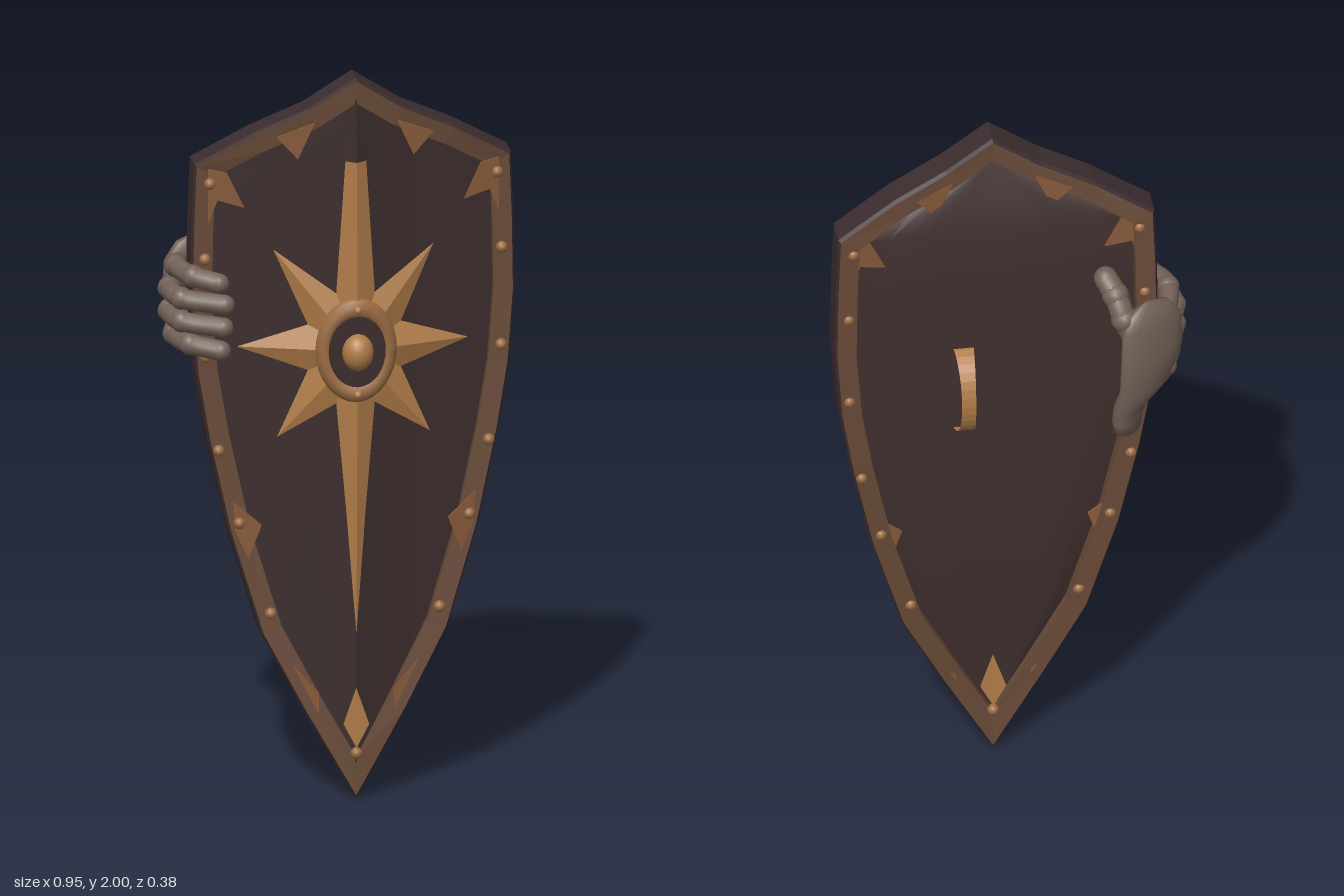
import * as THREE from 'three';
import { toCreasedNormals } from 'three/addons/utils/BufferGeometryUtils.js';

const mat = (name, color) => {
  const m = new THREE.MeshStandardMaterial({ color, side: THREE.DoubleSide });
  m.name = name;
  return m;
};

export function createModel() {
  const dark = mat('dark wood', 0x3a2b2c);
  const backing = mat('dark backing', 0x402f2e);
  const edge = mat('dark edge', 0x3c2d2f);
  const bronze = mat('worn bronze', 0x684a38);
  const bright = mat('polished bronze', 0x85593a);
  const dull = mat('dull gold', 0x9a6b42);
  const gold = mat('old gold', 0xb07c48);
  const skin = mat('grey skin', 0x726157);

  const model = new THREE.Group();
  const shield = new THREE.Group();
  shield.name = 'shield';
  shield.position.x = 0.04;
  const hand = new THREE.Group();
  hand.name = 'hand';
  model.add(shield, hand);

  const add = (parent, name, geo, m, pos = [0, 0, 0]) => {
    const mesh = new THREE.Mesh(geo, m);
    mesh.name = name;
    mesh.position.set(...pos);
    parent.add(mesh);
    return mesh;
  };
  const fromPoints = (pts) => {
    const g = new THREE.BufferGeometry();
    g.setAttribute('position', new THREE.Float32BufferAttribute(pts.flat(), 3));
    g.computeVertexNormals();
    return g;
  };

  // The shield bends backwards toward its sides
  const bend = (x) => 0.076 - 0.22 * Math.abs(x) ** 1.5;

  // Outline, clockwise from the top point
  const half = [[0, 2], [0.13, 1.915], [0.27, 1.85], [0.425, 1.76], [0.432, 1.58], [0.435, 1.38], [0.42, 1.18],
    [0.39, 1], [0.334, 0.74], [0.25, 0.46], [0.135, 0.24], [0, 0]];
  const outline = [...half, ...half.slice(1, -1).reverse().map(([x, y]) => [-x, y])];
  const N = outline.length;
  const inward = (i) => {
    const [p, q, r] = [outline[(i + N - 1) % N], outline[i], outline[(i + 1) % N]];
    const n = (a, b) => new THREE.Vector2(b[1] - a[1], a[0] - b[0]).normalize();
    const n1 = n(p, q), n2 = n(q, r), k = 1 + n1.dot(n2);
    return n1.add(n2).divideScalar(k);
  };
  const inset = (i, d) => {
    const n = inward(i);
    return [outline[i][0] + n.x * d, outline[i][1] + n.y * d];
  };

  // Rim: each band joins two [inset, depth] corners of the cross-section
  const band = (name, a, b, m) => {
    const pts = [];
    const at = (i, [d, z]) => [...inset(i % N, d), bend(outline[i % N][0]) + z];
    for (let i = 0; i < N; i++) {
      const [A, B, C, D] = [at(i, a), at(i + 1, a), at(i + 1, b), at(i, b)];
      pts.push(A, B, C, A, C, D);
    }
    add(shield, name, fromPoints(pts), m);
  };
  band('rimOuterWall', [0, -0.038], [0, 0.038], edge);
  band('rimInnerWall', [0.058, 0.046], [0.058, -0.046], bronze);
  for (const s of [1, -1]) {
    const c = (d, z) => [d, s * z];
    const ends = (p, q) => (s > 0 ? [p, q] : [q, p]);
    band('rimChamfer', ...ends(c(0, 0.038), c(0.006, 0.049)), edge);
    band('rimFace', ...ends(c(0.006, 0.049), c(0.058, 0.046)), bronze);
  }

  // Panels: rows follow the inset outline; the front is ridged, the back swells to a nearly flat face
  const rows = half.map((_, i) => inset(i, 0.05));
  const surface = (x) => bend(x) + 0.012 + 0.035 * Math.max(0, 1 - Math.abs(x) / 0.22) ** 2;
  const backSurface = (x, y, u) => {
    const swell = THREE.MathUtils.clamp(Math.min((1.94 - y) / 0.2, (y - 0.15) / 0.55), 0, 1);
    return THREE.MathUtils.lerp(bend(x) - 0.018, -0.008, swell * (1 - u ** 6));
  };
  for (const side of [1, -1]) {
    const cols = 16;
    const g = new THREE.PlaneGeometry(2, 1, cols, rows.length - 1);
    const p = g.attributes.position;
    for (let i = 0; i < p.count; i++) {
      const [w, y] = rows[Math.floor(i / (cols + 1))];
      const u = p.getX(i), x = u * w;
      p.setXYZ(i, x, y, side > 0 ? surface(x) : backSurface(x, y, u));
    }
    g.computeVertexNormals();
    add(shield, side > 0 ? 'frontPanel' : 'backPanel', toCreasedNormals(g, 0.4), side > 0 ? dark : backing);
  }

  // Star: eight ridged spikes around the hub, the upright ones with shoulders
  const cy = 1.25;
  const tips = [[0, 0.68], [0.215, 0.27], [0.31, 0], [0.205, -0.25], [0, -0.79], [-0.205, -0.25], [-0.31, 0], [-0.215, 0.27]];
  const shoulders = { 0: [0.028, 0.52], 4: [0.026, -0.45] };
  const star = [], spikeEnd = [];
  const top = [0, cy, 0.15];
  const valley = (j) => {
    const a = (j * Math.PI) / 4;
    const x = 0.135 * Math.sin(a);
    return [x, cy + 0.165 * Math.cos(a), surface(x) + 0.003];
  };
  tips.forEach(([tx, ty], k) => {
    const tip = [tx, cy + ty, surface(tx) + 0.004];
    for (const s of [-1, 1]) {
      const v = valley(k + s * 0.5);
      if (shoulders[k]) {
        const [w, h] = shoulders[k];
        const ridge = [0, cy + h, 0.136];
        const side = [Math.sign(v[0]) * w, cy + h, surface(w) + 0.002];
        star.push(top, ridge, v, ridge, side, v);
        (k === 0 ? spikeEnd : star).push(ridge, tip, side);
      } else {
        star.push(top, tip, v);
      }
    }
  });
  // Every face turned to the front
  const facing = (pts) => {
    for (let i = 0; i < pts.length; i += 3) {
      const [a, b, c] = pts.slice(i, i + 3);
      if ((b[0] - a[0]) * (c[1] - a[1]) < (b[1] - a[1]) * (c[0] - a[0])) [pts[i + 1], pts[i + 2]] = [c, b];
    }
    return fromPoints(pts);
  };
  add(shield, 'star', facing(star), gold);
  add(shield, 'spikeEnd', facing(spikeEnd), edge);

  // Hub: the ring slopes back to both sides
  const ring = new THREE.TorusGeometry(0.093, 0.022, 10, 32).scale(0.95, 1.25, 1);
  const rp = ring.attributes.position;
  for (let i = 0; i < rp.count; i++) rp.setZ(i, rp.getZ(i) - 0.15 * Math.abs(rp.getX(i)));
  ring.computeVertexNormals();
  add(shield, 'hubRing', ring, dull, [0, cy, 0.137]);
  const disc = add(shield, 'hubDisc', new THREE.CylinderGeometry(0.078, 0.085, 0.03, 32), dark, [0, cy, 0.137]);
  disc.rotation.x = Math.PI / 2;
  disc.scale.set(0.95, 1, 1.25);
  add(shield, 'hubBoss', new THREE.SphereGeometry(0.042, 20, 14), gold, [0, cy, 0.152]).scale.y = 1.2;
  for (const s of [1, -1]) {
    add(shield, 'hubRivet', new THREE.SphereGeometry(0.011, 10, 8), gold, [0, cy + s * 0.117, 0.157]);
  }

  // Rivets and pointed rim plates, on both faces
  const rivets = [[0.385, 1.71], [0.398, 1.5], [0.396, 1.23], [0.362, 0.97], [0.308, 0.77], [0.226, 0.52], [0, 0.13]];
  const plates = [
    [[0.39, 1.75], [0.34, 1.74], [0.295, 1.645], [0.365, 1.665], [0.39, 1.6]],
    [[0.325, 0.83], [0.25, 0.765], [0.285, 0.67], [0.32, 0.75]],
    [[0.21, 1.84], [0.155, 1.78], [0.11, 1.88]],
    [[0.17, 0.38], [0.1, 0.3], [0.1, 0.24]],
  ];
  const plate = (name, pts, side, m, base) => {
    const g = new THREE.ExtrudeGeometry(new THREE.Shape(pts.map((p) => new THREE.Vector2(...p))),
      { depth: 0.008, bevelEnabled: false });
    const p = g.attributes.position;
    for (let i = 0; i < p.count; i++) p.setZ(i, bend(p.getX(i)) + side * base - 0.004 + p.getZ(i));
    g.computeVertexNormals();
    add(shield, name, g, m);
  };
  for (const side of [1, -1]) {
    for (const s of [1, -1]) {
      for (const [x, y] of rivets) {
        if (x || s > 0) add(shield, 'rivet', new THREE.SphereGeometry(0.016, 10, 8), dull, [s * x, y, bend(x) + side * 0.049]);
      }
      for (const pts of plates) plate('rimPlate', pts.map(([x, y]) => [s * x, y]), side, bright, 0.047);
    }
    plate('tipDiamond', [[0, 0.31], [-0.034, 0.21], [0, 0.145], [0.034, 0.21]], side, gold, 0.05);
  }

  // Arm strap: a thin curved ribbon on the back, narrower at its middle
  const strap = [];
  const across = (t) => [-1, 1].map((s) => [
    0.085 + s * (0.028 - 0.009 * Math.sin(t)), 1.225 + 0.13 * Math.cos(t), 0.005 - 0.105 * Math.sin(t)]);
  for (let i = 0; i < 16; i++) {
    const [[a, b], [c, d]] = [i, i + 1].map((k) => across((k / 16) * Math.PI));
    strap.push(a, b, d, a, d, c);
  }
  add(shield, 'armStrap', fromPoints(strap), gold);

  // Palm and wrist: slanted oval rings [y, x, z, radius x, radius z]
  const rings = [[1.11, -0.3, -0.105, 0.001, 0.001], [1.115, -0.3, -0.105, 0.038, 0.038], [1.15, -0.3, -0.102, 0.045, 0.044],
    [1.2, -0.308, -0.112, 0.05, 0.047], [1.27, -0.345, -0.125, 0.075, 0.043], [1.37, -0.362, -0.124, 0.09, 0.042],
    [1.46, -0.362, -0.115, 0.085, 0.038], [1.505, -0.355, -0.112, 0.06, 0.03], [1.525, -0.35, -0.11, 0.001, 0.001]];
  const palm = new THREE.CylinderGeometry(1, 1, 1, 20, rings.length - 1, true);
  const pp = palm.attributes.position;
  for (let i = 0; i < pp.count; i++) {
    const [y, x, z, rx, rz] = rings[rings.length - 1 - Math.floor(i / 21)];
    const dx = pp.getX(i) * rx;
    pp.setXYZ(i, x + dx, y, z + pp.getZ(i) * rz - 0.5 * dx);
  }
  palm.computeVertexNormals();
  add(hand, 'palm', palm, skin);

  // Fingers and thumb: tubes with rounded joints
  const digit = (name, pts, r) => {
    const v = pts.map((p) => new THREE.Vector3(...p));
    add(hand, name, new THREE.TubeGeometry(new THREE.CatmullRomCurve3(v), 20, r, 12), skin);
    v.forEach((p, i) => add(hand, name + 'Joint',
      new THREE.SphereGeometry(i === v.length - 1 ? r : r * 1.14, 14, 10), skin, p.toArray()));
  };
  // Each finger: [height, outward shift, tip x]
  [[1.465, 0.03, -0.33], [1.405, 0, -0.315], [1.342, 0, -0.318], [1.278, 0.022, -0.325]].forEach(([y, out, end]) => {
    digit('finger', [[-0.405, 1.37 + (y - 1.37) * 0.85, -0.085], [-0.447 + out * 0.6, y + 0.006, 0.02],
      [-0.425 + out, y, 0.1], [end, y - 0.012, 0.138]], 0.027);
  });
  digit('thumb', [[-0.325, 1.4, -0.13], [-0.288, 1.485, -0.125], [-0.27, 1.54, -0.09], [-0.25, 1.57, -0.05]], 0.032);

  return model;
}
